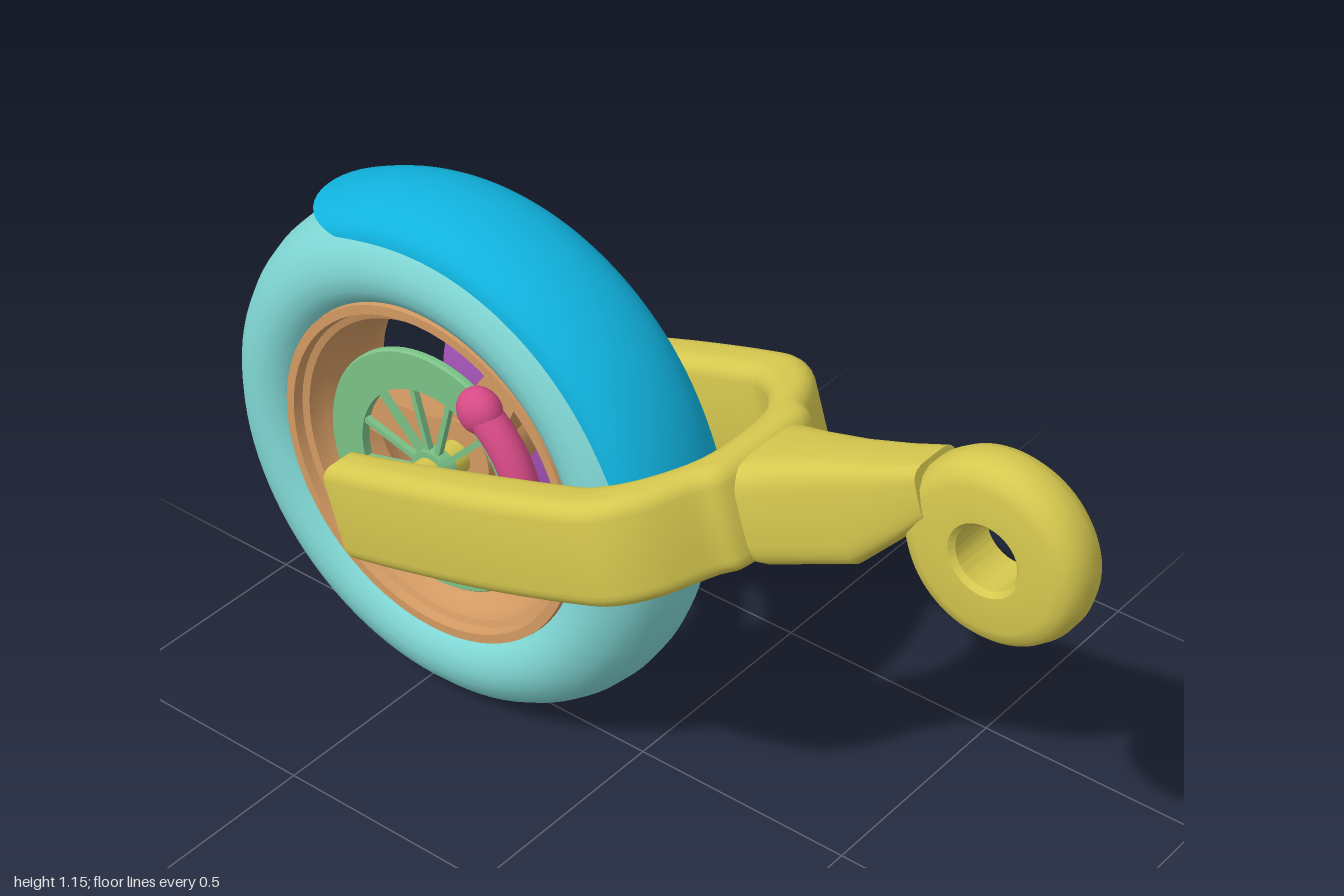
import * as THREE from 'three';
import { toCreasedNormals } from 'three/addons/utils/BufferGeometryUtils.js';

const mat = (name, color, side = THREE.FrontSide) => {
  const m = new THREE.MeshStandardMaterial({ color, side });
  m.name = name;
  return m;
};

export function createModel() {
  const model = new THREE.Group();
  const yellow = mat('yellow', 0xd6c84f);
  const teal = mat('teal', 0x7fd6d3);
  const blue = mat('blue', 0x10b2de, THREE.DoubleSide);
  const copper = mat('copper', 0xd39a63);
  const green = mat('green', 0x7cc187);
  const purple = mat('purple', 0xaa56bc);
  const pink = mat('pink', 0xd64a86);

  const add = (parent, name, geo, material, x = 0, y = 0, z = 0) => {
    const m = new THREE.Mesh(geo, material);
    m.name = name;
    m.position.set(x, y, z);
    parent.add(m);
    return m;
  };
  // closed [radius, z] profile turned about the z axis
  const turned = (pts, crease = 0.6, segs = 72) => {
    const p = [...pts, pts[0]].map(([r, z]) => new THREE.Vector2(r, z));
    return toCreasedNormals(new THREE.LatheGeometry(p, segs).rotateX(Math.PI / 2), crease);
  };
  const rod = (r, len, segs = 32) => new THREE.CylinderGeometry(r, r, len, segs).rotateX(Math.PI / 2);

  // ---- Wheel ----
  const wheel = new THREE.Group();
  wheel.name = 'wheel';
  wheel.position.set(-0.445, 0.56, 0);
  model.add(wheel);

  const side = [[0.37, 0.115], [0.385, 0.135], [0.41, 0.15], [0.44, 0.155], [0.47, 0.149], [0.5, 0.133],
    [0.525, 0.11], [0.543, 0.08], [0.555, 0.045]];
  add(wheel, 'tire', turned([...side.map(([r, z]) => [r, -z]), [0.56, 0], ...side.reverse()], 0.9, 96), teal);

  add(wheel, 'rim', turned([
    [0.355, -0.135], [0.375, -0.135], [0.378, -0.11], [0.378, 0.11], [0.375, 0.135], [0.355, 0.135],
    [0.35, 0.115], [0.335, 0.11], [0.328, 0.07], [0.308, 0.04], [0.305, -0.04],
    [0.328, -0.07], [0.335, -0.11], [0.35, -0.115]]), copper);

  // three tapered spokes
  for (let i = 0; i < 3; i++) {
    const g = new THREE.BoxGeometry(0.29, 1, 1, 4, 1, 1);
    const p = g.attributes.position;
    for (let k = 0; k < p.count; k++) {
      const t = (p.getX(k) + 0.145) / 0.29;
      const front = p.getZ(k) > 0;
      const width = THREE.MathUtils.lerp(0.13, 0.07, t) * (front ? 1 : 0.6);
      p.setXYZ(k, 0.03 + 0.29 * t, p.getY(k) * width, front ? 0.035 : -0.11 + 0.06 * t);
    }
    add(wheel, 'spoke', toCreasedNormals(g, 0.3), copper).rotation.z = Math.PI / 3 + i * 2 * Math.PI / 3;
  }
  add(wheel, 'hub', rod(0.085, 0.15), copper, 0, 0, -0.035);

  // spoked ring on the front side
  add(wheel, 'brakeRing', turned([[0.185, 0.095], [0.266, 0.095], [0.27, 0.1], [0.27, 0.11],
    [0.266, 0.115], [0.185, 0.115]]), green);
  for (let i = 0; i < 12; i++) {
    const a = (i + 0.5) * Math.PI / 6;
    const s = add(wheel, 'brakeRingSpoke', new THREE.BoxGeometry(0.155, 0.012, 0.014), green,
      0.115 * Math.cos(a), 0.115 * Math.sin(a), 0.105);
    s.rotation.z = a;
  }
  add(wheel, 'brakeRingHub', rod(0.05, 0.03), green, 0, 0, 0.105);

  // solid disc and its hub on the rear side
  add(wheel, 'rearDisc', turned([[0, -0.195], [0.226, -0.195], [0.235, -0.19], [0.235, -0.185],
    [0.226, -0.18], [0, -0.18]]), purple);
  add(wheel, 'rearDiscHub', rod(0.042, 0.1), purple, 0, 0, -0.135);
  add(wheel, 'axle', rod(0.036, 0.52), yellow);

  // curved caliper with rounded ends
  const bend = [];
  for (let i = 0; i <= 10; i++) {
    const a = THREE.MathUtils.degToRad(57 - 6.8 * i);
    bend.push(new THREE.Vector3(0.25 * Math.cos(a), 0.25 * Math.sin(a), 0.117));
  }
  add(wheel, 'caliper', new THREE.TubeGeometry(new THREE.CatmullRomCurve3(bend), 32, 0.036, 16), pink);
  add(wheel, 'caliperEnd', new THREE.SphereGeometry(0.05, 24, 16).scale(1, 1, 0.8), pink, bend[0].x, bend[0].y, 0.117);
  add(wheel, 'caliperEnd', new THREE.SphereGeometry(0.036, 24, 16), pink, bend[10].x, bend[10].y, 0.117);

  // ---- Fender: arched sheet with rounded ends ----
  const sheet = new THREE.PlaneGeometry(1, 1, 48, 20);
  const sp = sheet.attributes.position;
  for (let k = 0; k < sp.count; k++) {
    const t = sp.getX(k) + 0.5, s = sp.getY(k) * 2;
    const a = THREE.MathUtils.degToRad(THREE.MathUtils.lerp(124 - 11 * s * s, 1 + 16 * s * s, t));
    const r = 0.51 + 0.075 * Math.cos(s * Math.PI / 2) + 0.012 * Math.pow(2 * t - 1, 6);
    sp.setXYZ(k, r * Math.cos(a), r * Math.sin(a), 0.14 * Math.sin(s * Math.PI / 2));
  }
  // flip so that the outer face is the front
  const idx = sheet.index;
  for (let k = 0; k < idx.count; k += 3) {
    const b = idx.getX(k + 1);
    idx.setX(k + 1, idx.getX(k + 2));
    idx.setX(k + 2, b);
  }
  sheet.computeVertexNormals();
  // choose the winding by checking the crown normal
  const mid = Math.floor(sp.count / 2);
  if (sheet.attributes.normal.getY(mid) < 0) {
    for (let k = 0; k < idx.count; k += 3) {
      const b = idx.getX(k + 1);
      idx.setX(k + 1, idx.getX(k + 2));
      idx.setX(k + 2, b);
    }
    sheet.computeVertexNormals();
  }
  add(model, 'fender', sheet, blue, -0.445, 0.56, 0);

  // ---- Swing arm ----
  const arm = new THREE.Group();
  arm.name = 'swingArm';
  model.add(arm);

  // U-shaped fork, drawn in plan and tilted
  const mirrored = (pts) => [...pts, ...pts.slice().reverse().map(([u, z]) => [u, -z])]
    .map(([u, z]) => new THREE.Vector2(u, z));
  const outer = mirrored([[0.15, 0.338], [0.4, 0.35], [0.62, 0.343], [0.71, 0.325], [0.78, 0.265],
    [0.835, 0.17], [0.875, 0.11]]);
  const inner = mirrored([[0.2, 0.243], [0.58, 0.24], [0.67, 0.225], [0.74, 0.165], [0.785, 0.075]]);
  const plan = new THREE.Shape();
  plan.moveTo(0, 0.235);
  plan.lineTo(0, 0.325);
  plan.splineThru([...outer, new THREE.Vector2(0, -0.325)]);
  plan.lineTo(0, -0.235);
  plan.splineThru([...inner.reverse(), new THREE.Vector2(0, 0.235)]);
  const b = 0.035;
  const forkGeo = new THREE.ExtrudeGeometry(plan, {
    depth: 0.22 - 2 * b, bevelThickness: b, bevelSize: b, bevelOffset: -b, bevelSegments: 5, curveSegments: 4,
  }).translate(0, 0, b - 0.11).rotateX(-Math.PI / 2);
  add(arm, 'fork', toCreasedNormals(forkGeo, 0.7), yellow, -0.5125, 0.545, 0).rotation.z = 0.302;

  // tapering neck: [x, top, bottom, half width]
  const stations = [[0.29, 0.885, 0.69, 0.125], [0.34, 0.905, 0.695, 0.112], [0.41, 0.93, 0.72, 0.092],
    [0.51, 0.965, 0.76, 0.075], [0.6, 1.0, 0.85, 0.067], [0.67, 1.03, 0.925, 0.064]];
  const n = 32, pos = [], faces = [];
  const soft = (v) => Math.sign(v) * Math.pow(Math.abs(v), 0.45);
  stations.forEach(([x, top, bottom, w], j) => {
    for (let i = 0; i < n; i++) {
      const a = i / n * Math.PI * 2;
      const dy = (top - bottom) / 2 * soft(Math.cos(a));
      pos.push(x - 0.3 * dy, (top + bottom) / 2 + dy, w * soft(Math.sin(a)));
      const p = j * n + i, q = j * n + (i + 1) % n;
      if (j < stations.length - 1) faces.push(p, q, p + n, q, q + n, p + n);
    }
  });
  const last = (stations.length - 1) * n;
  for (let i = 1; i < n - 1; i++) faces.push(0, i + 1, i, last, last + i, last + i + 1);
  const neck = new THREE.BufferGeometry();
  neck.setAttribute('position', new THREE.Float32BufferAttribute(pos, 3));
  neck.setIndex(faces);
  add(arm, 'neck', toCreasedNormals(neck, 0.6), yellow);

  // pivot eye with rounded rim
  const eye = [[0.065, -0.05], [0.075, -0.06], [0.145, -0.06], [0.167, -0.054], [0.182, -0.038], [0.19, -0.015]];
  add(arm, 'pivotEye', turned([...eye, ...eye.map(([r, z]) => [r, -z]).reverse()], 0.75), yellow, 0.81, 0.905, 0);

  return model;
}
